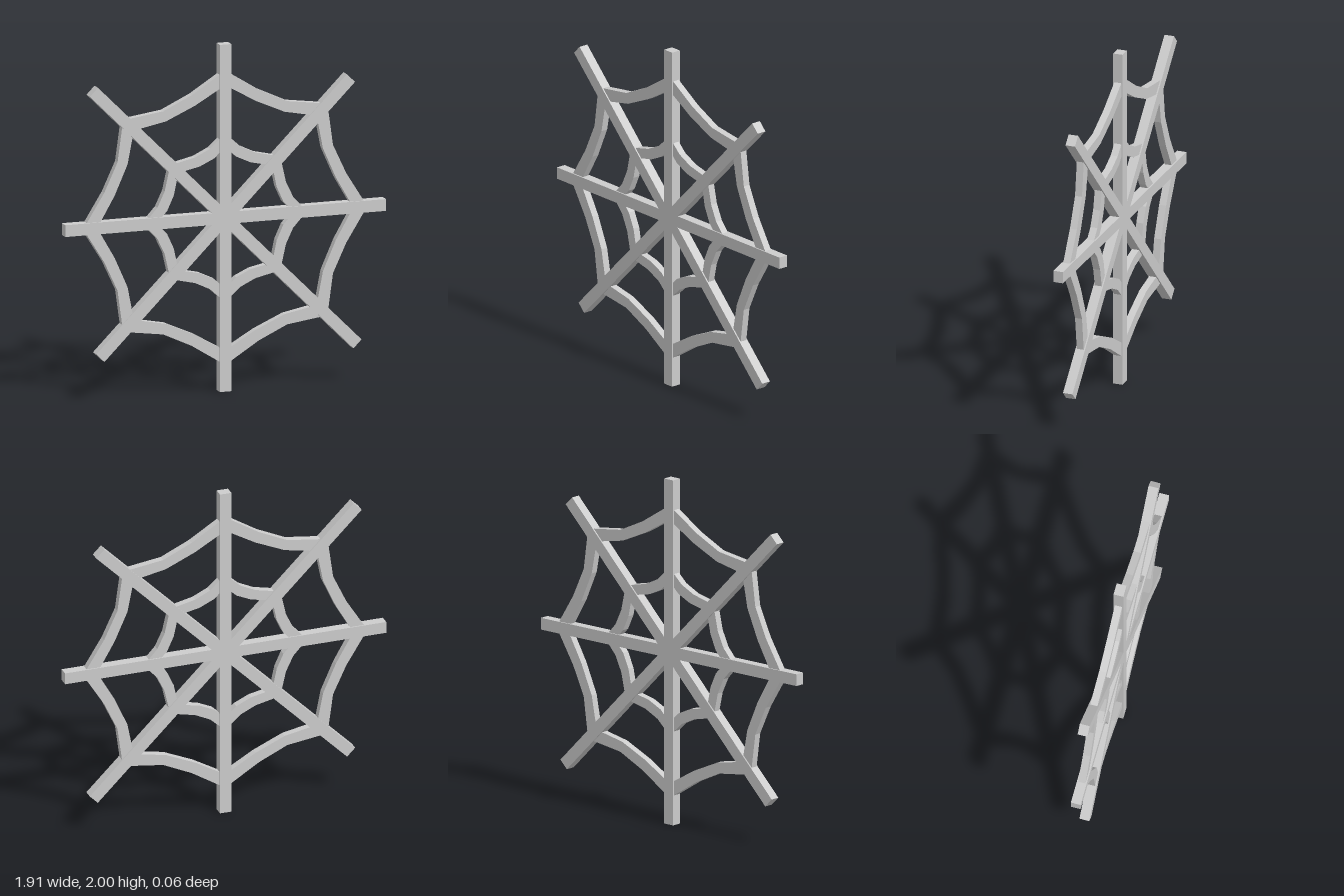
import * as THREE from 'three';

const HUB_Y = 1;
const SPOKE = 0.068;        // spoke width
const SPOKE_DEPTH = 0.057;
const THREAD_DEPTH = 0.042;

// Outer and inner edges of each sagging thread, from the upright spoke to the diagonal one
const THREADS = {
  outerThread: [
    [0, 0.848], [0.201, 0.722], [0.37, 0.643], [0.566, 0.616], [0.6, 0.612],
    [0.545, 0.548], [0.513, 0.552], [0.354, 0.583], [0.18, 0.66], [0, 0.764],
  ],
  innerThread: [
    [0, 0.487], [0.09, 0.405], [0.18, 0.362], [0.29, 0.337], [0.32, 0.33],
    [0.275, 0.282], [0.243, 0.288], [0.153, 0.307], [0.066, 0.347], [0, 0.41],
  ],
};

// Thread strip for one eighth of the web; swapping x and y mirrors it over the diagonal
function threadGeometry(points, mirrored) {
  const outline = points.map(([x, y]) => (mirrored ? new THREE.Vector2(y, x) : new THREE.Vector2(x, y)));
  const geometry = new THREE.ExtrudeGeometry(new THREE.Shape(outline), {
    depth: THREAD_DEPTH, bevelEnabled: false,
  });
  return geometry.translate(0, 0, -THREAD_DEPTH / 2);
}

export function createModel() {
  const group = new THREE.Group();
  group.name = 'spiderWeb';
  const lightGrey = new THREE.MeshStandardMaterial({ color: 0xcccccc });
  lightGrey.name = 'lightGrey';

  const add = (name, geometry, angle) => {
    const mesh = new THREE.Mesh(geometry, lightGrey);
    mesh.name = name;
    mesh.position.y = HUB_Y;
    mesh.rotation.z = angle;
    group.add(mesh);
  };

  // Four full-length bars crossing at the hub
  const spokes = [
    ['horizontalSpoke', 1.915, 0],
    ['risingSpoke', 2.115, Math.PI / 4],
    ['verticalSpoke', 2, Math.PI / 2],
    ['fallingSpoke', 2.225, -Math.PI / 4],
  ];
  for (const [name, length, angle] of spokes) {
    add(name, new THREE.BoxGeometry(length, SPOKE, SPOKE_DEPTH), angle);
  }

  // Two rings of threads, eight pieces each
  for (const [name, points] of Object.entries(THREADS)) {
    for (const mirrored of [false, true]) {
      const geometry = threadGeometry(points, mirrored);
      for (let i = 0; i < 4; i++) add(name, geometry, (i * Math.PI) / 2);
    }
  }
  return group;
}
